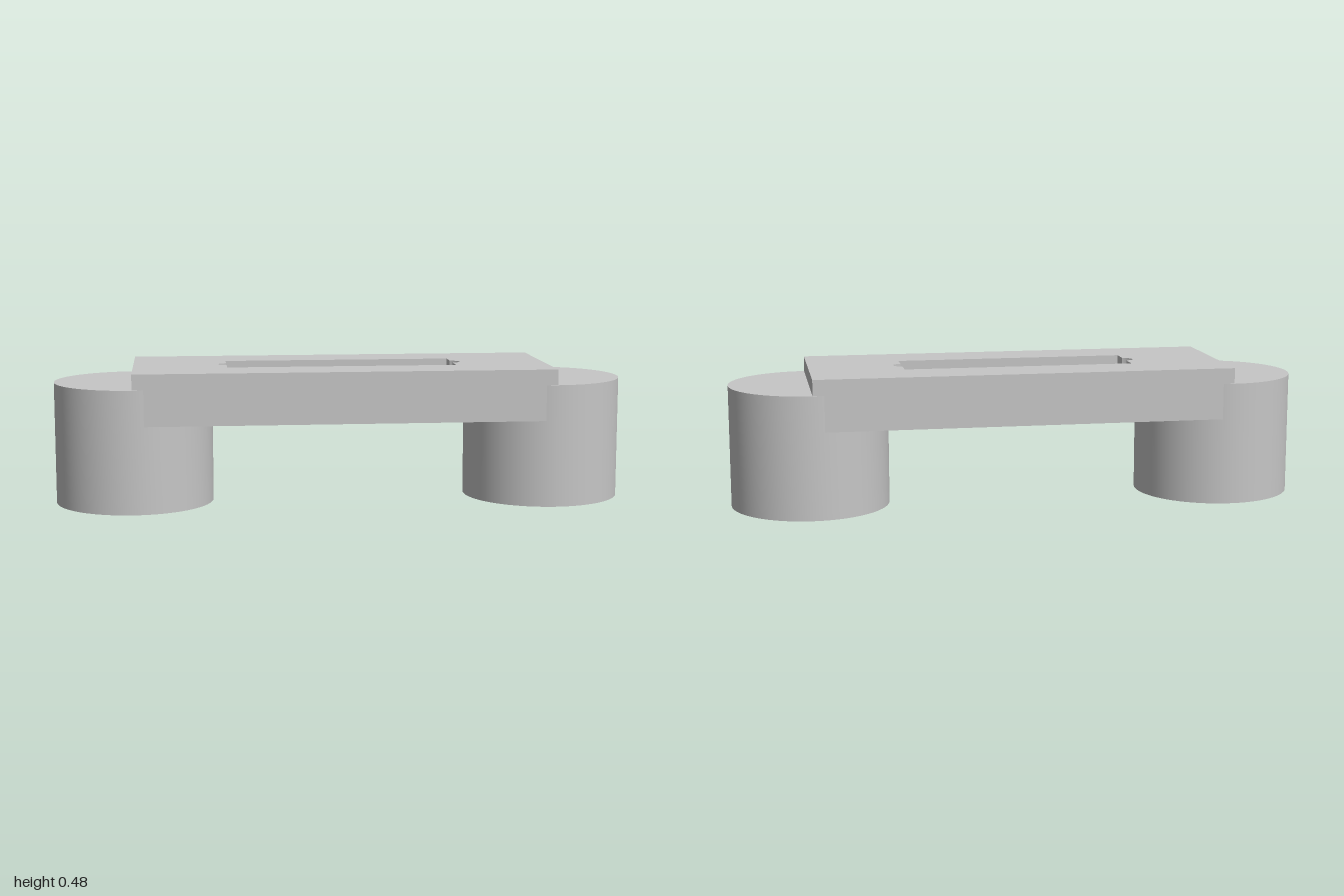
import * as THREE from 'three';
import { toCreasedNormals } from 'three/addons/utils/BufferGeometryUtils.js';

const LEG_X = 0.725, LEG_R = 0.275, LEG_TOP = 0.424;
const BAR_BOTTOM = 0.3, BAR_TOP = 0.478, BAR_Z = 0.272;
const SLOT_X = 0.4, SLOT_Z = 0.1, GAP_Z = 0.045;

const points = list => list.map(([x, y]) => new THREE.Vector2(x, y));

export function createModel() {
  const group = new THREE.Group();
  const grey = new THREE.MeshStandardMaterial({ color: 0xc6c6c6 });
  grey.name = 'plain grey';

  const add = (name, geometry) => {
    const mesh = new THREE.Mesh(toCreasedNormals(geometry, 0.5), grey);
    mesh.name = name;
    group.add(mesh);
    return mesh;
  };

  // Round legs with a stepped blind bore in the foot
  const legGeometry = new THREE.LatheGeometry(points([
    [0, 0.27], [0.083, 0.27], [0.083, 0.085], [0.152, 0.085], [0.152, 0.042],
    [0.148, 0.04], [0.148, 0], [LEG_R, 0], [LEG_R, LEG_TOP], [0, LEG_TOP],
  ]), 72);
  for (const [name, side] of [['leftLeg', 1], ['rightLeg', -1]]) {
    add(name, legGeometry).position.x = side * LEG_X;
  }

  // Bridge bar with a long slot, notched at both ends
  const bar = new THREE.Shape(points([
    [-LEG_X, -BAR_Z], [LEG_X, -BAR_Z], [LEG_X, BAR_Z], [-LEG_X, BAR_Z],
  ]));
  const halfSlot = [
    [SLOT_X, -SLOT_Z], [SLOT_X, -0.032], [0.418, -0.024], [0.428, -0.012],
    [0.428, 0.012], [0.418, 0.024], [SLOT_X, 0.032], [SLOT_X, SLOT_Z],
  ];
  const slot = [...halfSlot, ...halfSlot.map(([x, z]) => [-x, -z])];
  bar.holes.push(new THREE.Path(points(slot)));
  const barGeometry = new THREE.ExtrudeGeometry(bar, {
    depth: BAR_TOP - BAR_BOTTOM, bevelEnabled: false,
  });
  barGeometry.rotateX(-Math.PI / 2).translate(0, BAR_BOTTOM, 0);
  add('bridgeBar', barGeometry);

  // Curved lips that narrow the slot towards the underside
  const rise = Math.sqrt(SLOT_Z ** 2 - GAP_Z ** 2);
  const lip = new THREE.Shape();
  lip.moveTo(SLOT_Z, BAR_BOTTOM);
  lip.lineTo(SLOT_Z, BAR_BOTTOM + rise);
  lip.absarc(0, BAR_BOTTOM + rise, SLOT_Z, 0, -Math.acos(GAP_Z / SLOT_Z), true);
  lip.closePath();
  const lipGeometry = new THREE.ExtrudeGeometry(lip, {
    depth: 2 * SLOT_X, bevelEnabled: false, curveSegments: 16,
  });
  lipGeometry.translate(0, 0, -SLOT_X).rotateY(Math.PI / 2);
  add('backSlotLip', lipGeometry);
  add('frontSlotLip', lipGeometry).rotation.y = Math.PI;

  return group;
}
